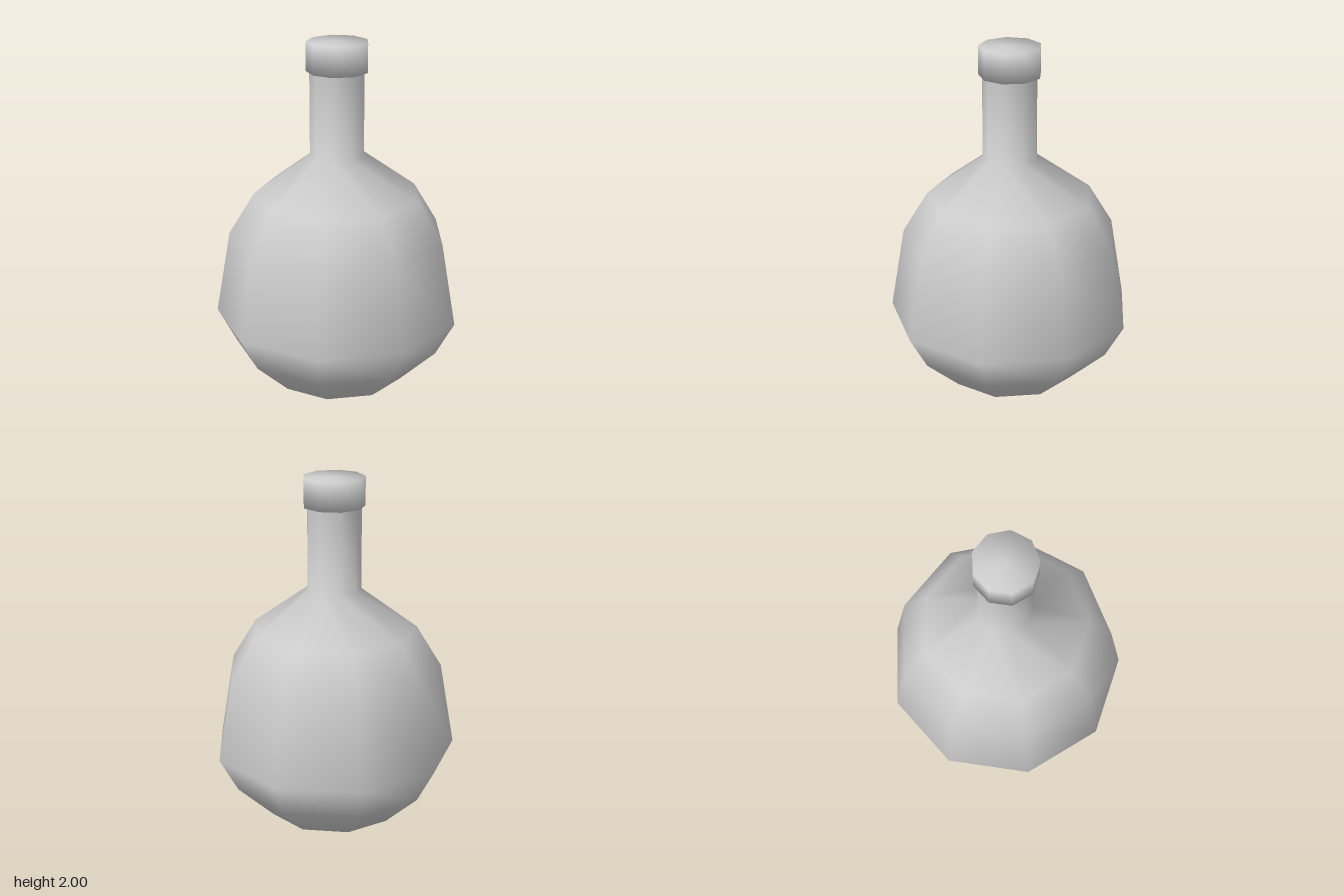
import * as THREE from 'three';

const SIDES = 9;

// Closed nine-sided turned part; one corner points straight back
function turned(name, profile, material) {
  const points = profile.map(([r, y]) => new THREE.Vector2(r, y));
  const mesh = new THREE.Mesh(new THREE.LatheGeometry(points, SIDES, Math.PI), material);
  mesh.name = name;
  mesh.position.z = 0.02;
  return mesh;
}

export function createModel() {
  const group = new THREE.Group();
  group.name = 'flask';
  const material = new THREE.MeshStandardMaterial({ color: 0xcccccc });

  // Round body running up into the straight neck
  group.add(turned('bodyAndNeck', [
    [0, 0], [0.387, 0], [0.6, 0.2], [0.709, 0.4], [0.625, 0.88],
    [0.479, 1.12], [0.157, 1.355], [0.157, 1.84],
  ], material));

  // Wider rim closing the neck
  group.add(turned('rim', [
    [0, 1.835], [0.177, 1.835], [0.177, 2], [0, 2],
  ], material));

  return group;
}
